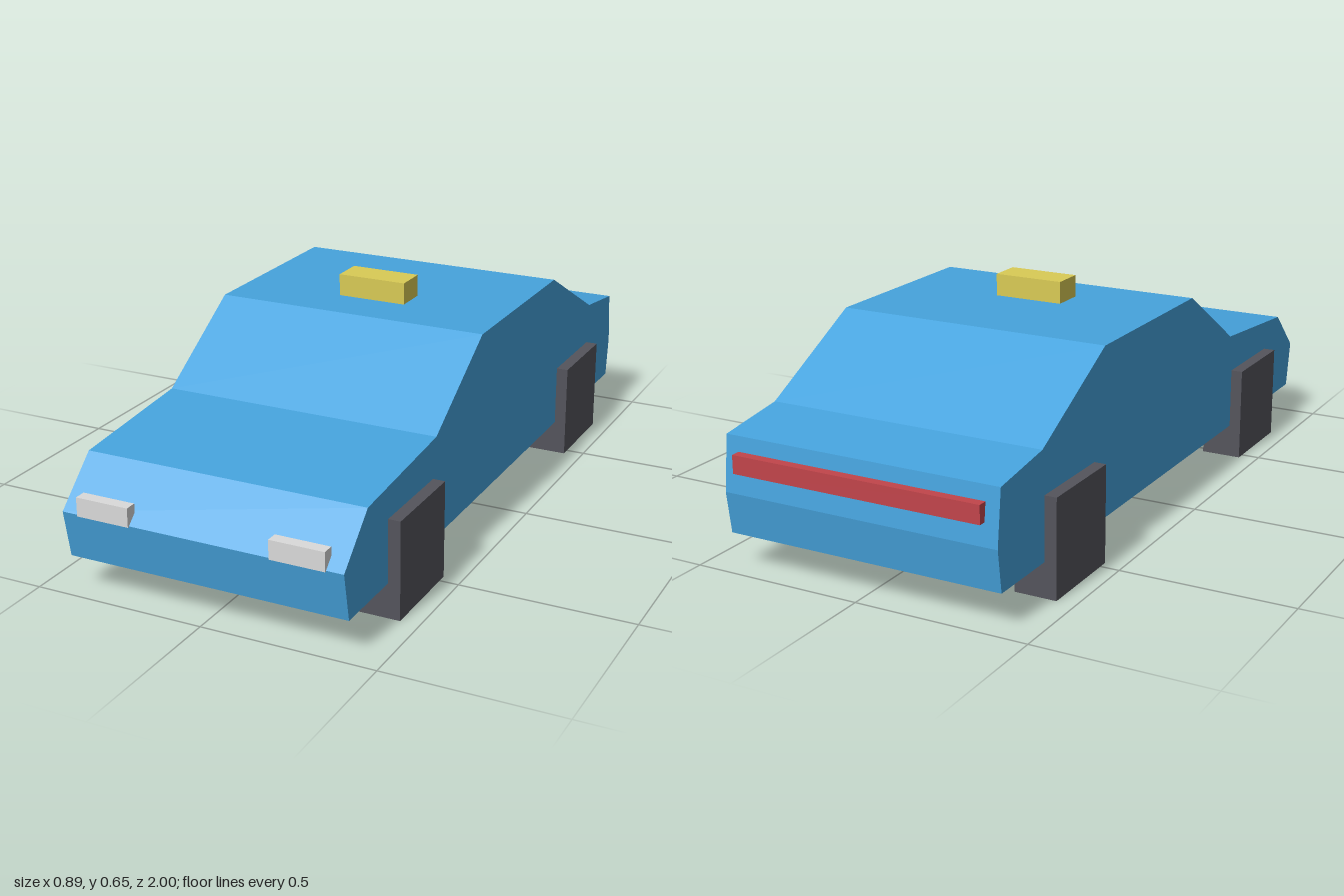
import * as THREE from 'three';

const material = (name, color) => {
  const m = new THREE.MeshStandardMaterial({ color });
  m.name = name;
  return m;
};

export function createModel() {
  const car = new THREE.Group();
  car.name = 'car';

  const bodyBlue = material('bodyBlue', 0x46a3dd);
  const tyreGrey = material('tyreGrey', 0x54545c);
  const lampWhite = material('lampWhite', 0xdadada);
  const lampRed = material('lampRed', 0xc2454b);
  const signYellow = material('signYellow', 0xd9cb55);

  // Box given by its [min, max] range on each axis
  const box = (name, mat, [x0, x1], [y0, y1], [z0, z1]) => {
    const mesh = new THREE.Mesh(new THREE.BoxGeometry(x1 - x0, y1 - y0, z1 - z0), mat);
    mesh.position.set((x0 + x1) / 2, (y0 + y1) / 2, (z0 + z1) / 2);
    mesh.name = name;
    car.add(mesh);
  };

  // Body: side profile (z, y) extruded across the width
  const profile = [
    [0.97, 0.1], [0.995, 0.237], [0.865, 0.36], [0.455, 0.395], [0.15, 0.586],
    [-0.415, 0.586], [-0.76, 0.405], [-0.968, 0.376], [-0.985, 0.22], [-0.968, 0.1],
  ].map(([z, y]) => new THREE.Vector2(z, y));
  const width = 0.82;
  const bodyGeometry = new THREE.ExtrudeGeometry(new THREE.Shape(profile), {
    depth: width, bevelEnabled: false,
  });
  bodyGeometry.translate(0, 0, -width / 2).rotateY(-Math.PI / 2);
  const body = new THREE.Mesh(bodyGeometry, bodyBlue);
  body.name = 'body';
  car.add(body);

  // Square wheels and headlights, mirrored left and right
  for (const [side, s] of [['left', 1], ['right', -1]]) {
    const span = (a, b) => (s > 0 ? [a, b] : [-b, -a]);
    box(`${side}FrontWheel`, tyreGrey, span(0.323, 0.445), [0, 0.281], [0.473, 0.75]);
    box(`${side}RearWheel`, tyreGrey, span(0.323, 0.445), [0, 0.281], [-0.75, -0.473]);
    box(`${side}Headlight`, lampWhite, span(0.205, 0.361), [0.235, 0.289], [0.966, 1]);
  }

  // Tail light bar and roof sign
  box('tailLight', lampRed, [-0.37, 0.37], [0.282, 0.334], [-1, -0.97]);
  box('roofSign', signYellow, [-0.104, 0.104], [0.584, 0.65], [-0.09, 0.005]);

  return car;
}
